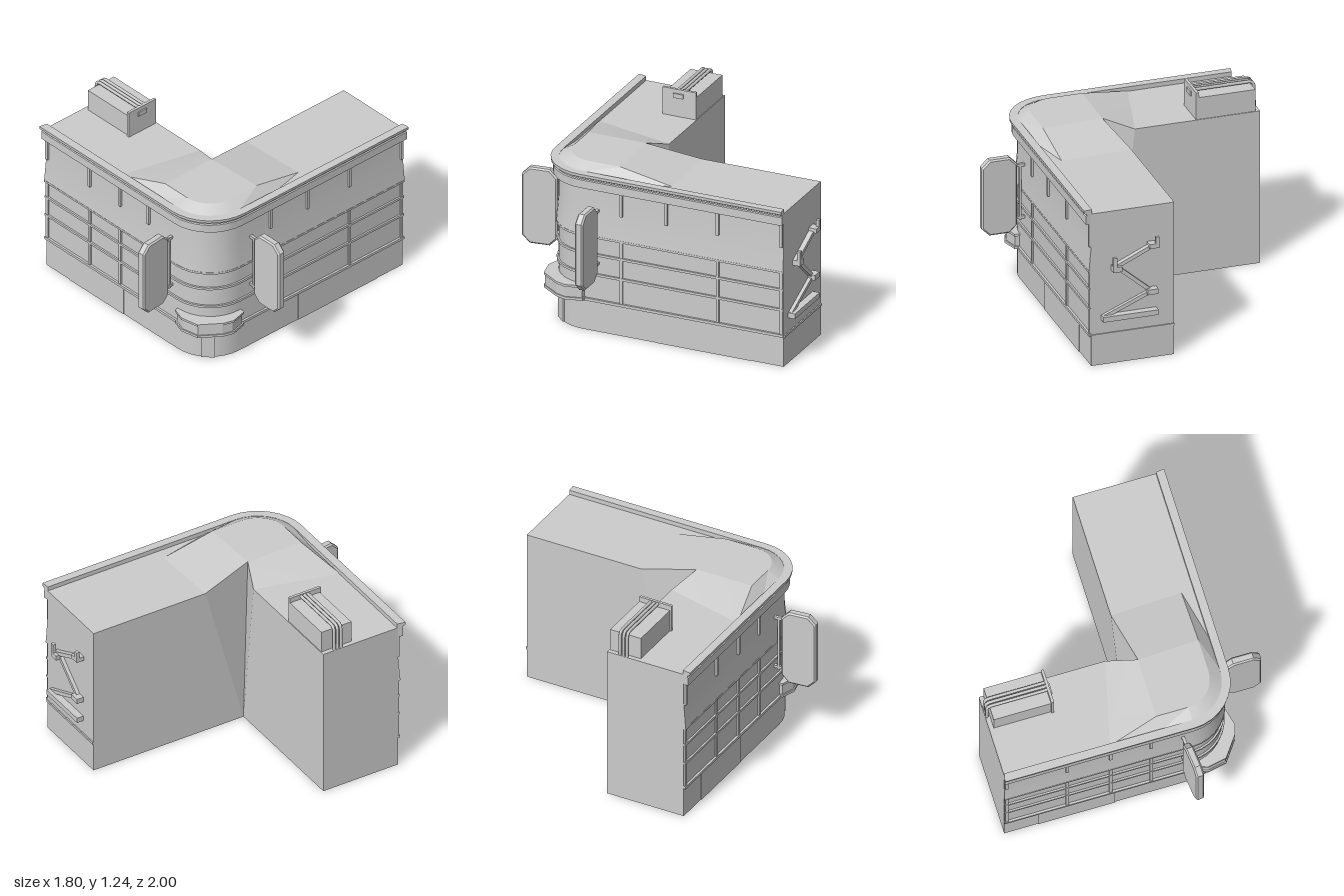
import * as THREE from 'three';
import { toCreasedNormals } from 'three/addons/utils/BufferGeometryUtils.js';

const mat = new THREE.MeshStandardMaterial({ color: 0xcccccc });
const thin = new THREE.MeshStandardMaterial({ color: 0xcccccc, side: THREE.DoubleSide });

// Footprint limits of the L plan
const L = -0.89, R = 0.61, F = 0.71, B = -0.945, IX = 0.06, IZ = 0.16, ROOF = 1.05;
const RAD = 0.27, CX = R - RAD, CZ = F - RAD;

// Street-side path: position and outward direction at each station
const arc = [];
for (let i = 0; i <= 8; i++) {
  const a = (i / 8) * Math.PI / 2;
  arc.push({ x: CX + RAD * Math.sin(a), z: CZ + RAD * Math.cos(a), nx: Math.sin(a), nz: Math.cos(a) });
}
const path = [{ x: L, z: F, nx: -0.2, nz: 1 }, ...arc, { x: R, z: B, nx: 1, nz: -0.1 }];

function mesh(name, geo, parent, material = mat) {
  const m = new THREE.Mesh(geo, material);
  m.name = name;
  parent.add(m);
  return m;
}

function fromTriangles(tris, crease = 0.3) {
  const g = new THREE.BufferGeometry();
  g.setAttribute('position', new THREE.Float32BufferAttribute(tris.flat(), 3));
  return toCreasedNormals(g, crease);
}

function box(name, parent, x0, x1, y0, y1, z0, z1) {
  const m = mesh(name, new THREE.BoxGeometry(x1 - x0, y1 - y0, z1 - z0), parent);
  m.position.set((x0 + x1) / 2, (y0 + y1) / 2, (z0 + z1) / 2);
  return m;
}

// Closed profile of [offset, height] points swept along the street path
function sweep(profile) {
  const at = (s, [o, y]) => [s.x + s.nx * o, y, s.z + s.nz * o];
  const t = [];
  for (let i = 0; i < path.length - 1; i++) {
    profile.forEach((p, j) => {
      const q = profile[(j + 1) % profile.length];
      const a = at(path[i], p), b = at(path[i + 1], p), c = at(path[i + 1], q), d = at(path[i], q);
      t.push(a, b, c, a, c, d);
    });
  }
  const end = path[path.length - 1];
  const faces = THREE.ShapeUtils.triangulateShape(profile.map(p => new THREE.Vector2(...p)), []);
  for (const [a, b, c] of faces) {
    t.push(at(path[0], profile[a]), at(path[0], profile[b]), at(path[0], profile[c]));
    t.push(at(end, profile[c]), at(end, profile[b]), at(end, profile[a]));
  }
  return fromTriangles(t);
}

function fan(points) {
  const t = [];
  for (let i = 1; i < points.length - 1; i++) t.push(points[0], points[i], points[i + 1]);
  return t;
}

// Roof strip: street edge, hump edge and courtyard edge at each station
function roofGeometry(peak) {
  const rows = [];
  const flat = (ox, oz, ix, iz) => rows.push([
    [ox, ROOF, oz], [ox + (ix - ox) * 0.15, ROOF, oz + (iz - oz) * 0.15], [ix, ROOF, iz]]);
  const hump = (s, y) => rows.push([[s.x, y, s.z], [s.x - s.nx * 0.08, 1.12, s.z - s.nz * 0.08], peak]);
  flat(L, F, L, IZ);
  flat(-0.2, F, -0.06, IZ);
  hump({ x: 0.13, z: F, nx: 0, nz: 1 }, ROOF);
  arc.forEach(s => hump(s, 1.075));
  hump({ x: R, z: 0.22, nx: 1, nz: 0 }, ROOF);
  flat(R, -0.14, IX, -0.12);
  flat(R, B, IX, B);
  const t = [];
  for (let i = 0; i < rows.length - 1; i++) {
    for (let j = 0; j < 2; j++) {
      const a = rows[i][j], b = rows[i + 1][j], c = rows[i + 1][j + 1], d = rows[i][j + 1];
      t.push(a, b, c);
      if (c !== d) t.push(a, c, d);
    }
  }
  return fromTriangles(t, 0.15);
}

// Projecting sign pointing along +x, with its wall bracket
function hangingSign(name) {
  const g = new THREE.Group();
  g.name = name;
  const [x0, x1, y0, y1, c, b] = [0.065, 0.28, 0.39, 0.89, 0.045, 0.01];
  const s = new THREE.Shape([[x0 + c, y0], [x1 - c, y0], [x1, y0 + c], [x1, y1 - c],
    [x1 - c, y1], [x0 + c, y1], [x0, y1 - c], [x0, y0 + c]].map(p => new THREE.Vector2(...p)));
  const geo = new THREE.ExtrudeGeometry(s, { depth: 0.035, bevelSize: b, bevelThickness: b, bevelSegments: 1 });
  mesh('signBoard', geo.translate(0, 0, -0.0175), g);
  for (const y of [0.47, 0.83]) box('signArm', g, -0.01, 0.07, y - 0.009, y + 0.009, -0.01, 0.01);
  box('signBracket', g, 0.022, 0.036, 0.45, 0.84, -0.008, 0.008);
  return g;
}

// Sloping bar on the rear end wall between two [x, y] points
function bar(name, parent, [xa, ya], [xb, yb], h, z0, z1) {
  const m = mesh(name, new THREE.BoxGeometry(Math.hypot(xb - xa, yb - ya), h, z1 - z0), parent);
  m.position.set((xa + xb) / 2, (ya + yb) / 2, (z0 + z1) / 2);
  m.rotation.z = Math.atan2(yb - ya, xb - xa);
}

export function createModel() {
  const model = new THREE.Group();
  model.name = 'cornerBuilding';
  const peak = [0.13, 1.12, 0.235];

  // Street facade with flared upper panel, and the cornice
  mesh('streetWall', sweep([[-0.02, 0], [0, 0], [0, 0.65], [0.016, 0.65], [0, 0.83], [0, 1.04], [-0.02, 1.04]]), model);
  mesh('cornice', sweep([[-0.005, 0.98], [0.035, 0.98], [0.035, 1.035], [0.028, 1.04], [0.03, 1.05],
    [0.048, 1.06], [0.05, 1.08], [-0.005, 1.08]]), model);
  for (const [y, h, o] of [[0.213, 0.018, 0.015], [0.39, 0.016, 0.012], [0.527, 0.016, 0.012], [0.65, 0.014, 0.017]]) {
    mesh('facadeBand', sweep([[-0.005, y - h / 2], [o, y - h / 2], [o, y + h / 2], [-0.005, y + h / 2]]), model);
  }

  // Plain end, courtyard and bottom faces
  mesh('leftEndWall', fromTriangles(fan([[L, 0, IZ], [L, 0, F], [L, ROOF, F], [L, ROOF, IZ]])), model, thin);
  mesh('rearEndWall', fromTriangles(fan([[R, 0, B], [IX, 0, B], [IX, ROOF, B], [R, ROOF, B]])), model, thin);
  mesh('courtyardWallBack', fromTriangles(fan([[IX, 0, IZ], [L, 0, IZ], [L, ROOF, IZ], [-0.06, ROOF, IZ], peak]), 0.05), model, thin);
  mesh('courtyardWallSide', fromTriangles(fan([[IX, 0, IZ], peak, [IX, ROOF, -0.12], [IX, ROOF, B], [IX, 0, B]]), 0.05), model, thin);
  const plan = [...path.map(p => [p.x, p.z]), [IX, B], [IX, IZ], [L, IZ]];
  const floor = new THREE.ShapeGeometry(new THREE.Shape(plan.map(p => new THREE.Vector2(...p))));
  mesh('floor', floor.rotateX(Math.PI / 2), model);
  mesh('roof', roofGeometry(peak), model, thin);
  box('rearLedge', model, IX, R, 0.2, 0.215, B - 0.008, B);

  // Window mullions, upper pilasters and base panels
  const w = 0.01;
  for (const x of [-0.875, -0.48, -0.195, 0.07]) {
    box('frontMullion', model, x - w, x + w, 0.22, 0.65, F - 0.01, F + 0.01);
    box('frontPilaster', model, x - w, x + w, 0.82, 0.985, F - 0.01, F + 0.014);
  }
  for (const z of [0.175, -0.135, -0.49, -0.93]) {
    if (z !== -0.135) box('sideMullion', model, R - 0.01, R + 0.01, 0.22, 0.65, z - w, z + w);
    box('sidePilaster', model, R - 0.01, R + 0.014, 0.82, 0.985, z - w, z + w);
  }
  box('frontBasePanel', model, -0.67, -0.165, 0, 0.205, F - 0.01, F + 0.004);
  box('sideBasePanel', model, R - 0.01, R + 0.004, 0, 0.205, -0.72, -0.06);

  // Corner door and the canopy above it
  const door = mesh('cornerDoor', new THREE.BoxGeometry(0.09, 0.2, 0.02), model);
  door.position.set(CX + 0.187, 0.1, CZ + 0.187);
  door.rotation.y = Math.PI / 4;
  const canopy = (name, k, y, h) => {
    const pts = [[0.33, 0.69], [0.34, 0.735], [0.43, 0.765], [0.555, 0.74], [0.65, 0.61], [0.672, 0.54],
      [0.645, 0.43], [0.59, 0.42], [0.5, 0.6]].map(([x, z]) =>
      new THREE.Vector2(0.5 + (x - 0.5) * k, 0.6 + (z - 0.6) * k));
    const geo = new THREE.ExtrudeGeometry(new THREE.Shape(pts), { depth: h, bevelEnabled: false });
    mesh(name, geo.rotateX(Math.PI / 2).translate(0, y + h, 0), model);
  };
  canopy('canopyTop', 1, 0.295, 0.015);
  canopy('canopyBody', 0.95, 0.225, 0.07);
  canopy('canopyBottom', 1, 0.208, 0.017);

  // Two hanging signs
  const sideSign = hangingSign('sideSign');
  sideSign.position.set(R, 0, 0.34);
  const frontSign = hangingSign('frontSign');
  frontSign.position.set(0.28, 0, F);
  frontSign.rotation.y = -Math.PI / 2 + 0.1;
  model.add(sideSign, frontSign);

  // Rooftop unit with end plate and pipes bending down over the left side
  box('roofUnit', model, -0.86, -0.48, ROOF - 0.01, 1.2, IZ + 0.005, 0.385);
  box('roofUnitPlate', model, -0.485, -0.467, ROOF - 0.01, 1.235, IZ + 0.005, 0.395);
  box('roofUnitVent', model, -0.468, -0.457, 1.178, 1.208, 0.25, 0.32);
  for (const z of [0.247, 0.272, 0.297]) {
    const c = new THREE.CurvePath();
    const v = (x, y) => new THREE.Vector3(x, y, z);
    c.add(new THREE.LineCurve3(v(-0.475, 1.222), v(-0.845, 1.222)));
    c.add(new THREE.QuadraticBezierCurve3(v(-0.845, 1.222), v(-0.875, 1.222), v(-0.878, 1.185)));
    c.add(new THREE.LineCurve3(v(-0.878, 1.185), v(-0.88, 1.04)));
    mesh('roofPipe', new THREE.TubeGeometry(c, 32, 0.011, 6), model);
  }

  // Fire escape on the rear end wall
  const z0 = -0.998, z1 = B + 0.005;
  bar('upperFlight', model, [0.47, 0.665], [0.2, 0.79], 0.025, z0 + 0.02, z1);
  bar('middleFlight', model, [0.45, 0.67], [0.22, 0.47], 0.025, z0 + 0.03, z1);
  bar('lowerFlight', model, [0.2, 0.475], [0.53, 0.335], 0.025, z0 + 0.03, z1);
  box('lowerLanding', model, 0.18, 0.545, 0.31, 0.345, z0 + 0.005, z1);
  box('middleLanding', model, 0.18, 0.25, 0.455, 0.49, z0 + 0.005, z1);
  box('upperLanding', model, 0.42, 0.48, 0.645, 0.68, z0, z1);
  box('topLanding', model, 0.175, 0.24, 0.775, 0.805, z0, z1);
  box('upperPost', model, 0.455, 0.48, 0.66, 0.745, z0, z0 + 0.02);
  box('topPost', model, 0.175, 0.2, 0.79, 0.85, z0, z0 + 0.02);
  return model;
}
